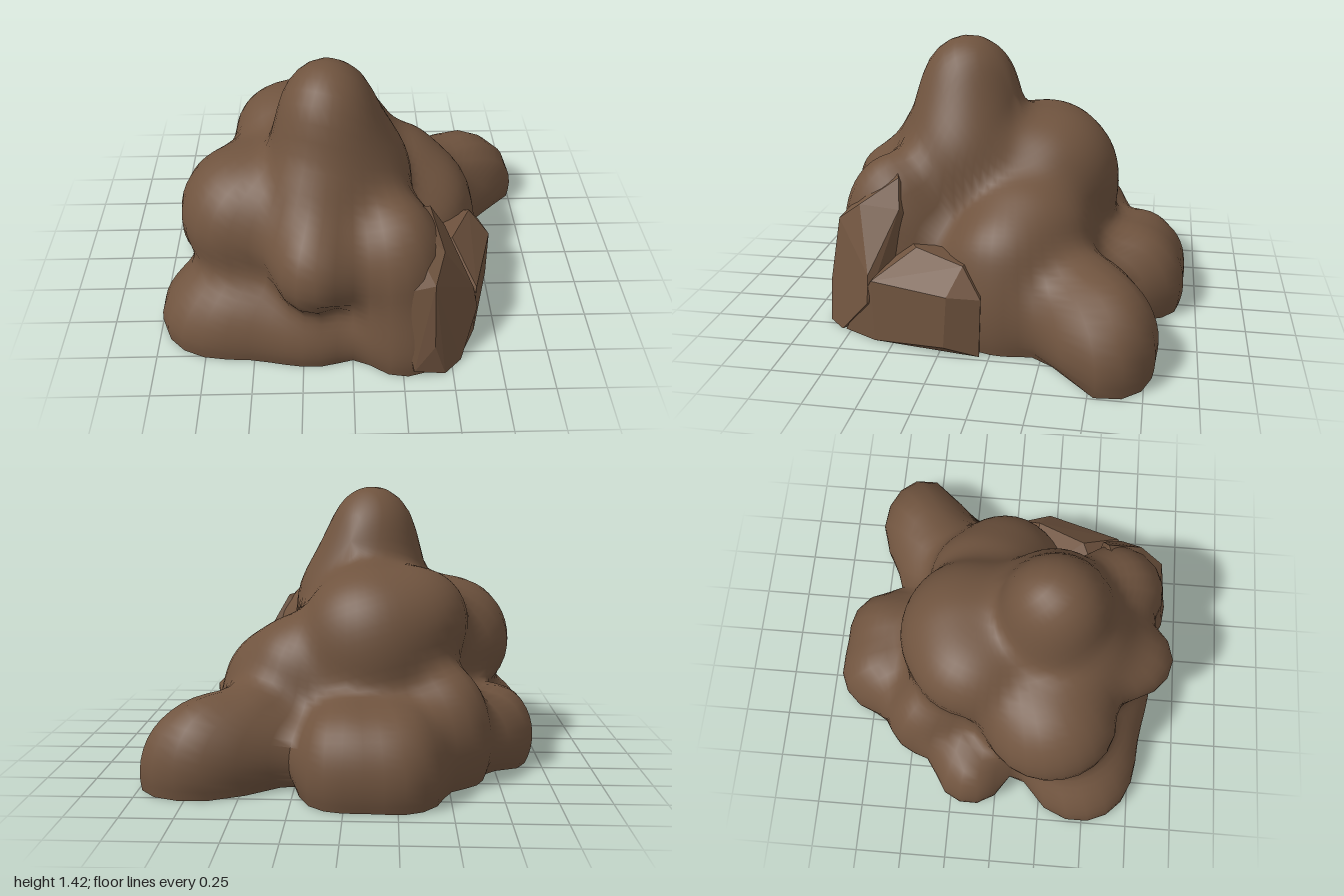
import * as THREE from 'three';
import { toCreasedNormals } from 'three/addons/utils/BufferGeometryUtils.js';
import { ConvexGeometry } from 'three/addons/geometries/ConvexGeometry.js';

// Rounded boulders that melt together: centre x, y, z and radii x, y, z
const BOULDERS = [
  [-0.11, 1.09, 0.25, 0.25, 0.33, 0.27],   // peak
  [-0.07, 0.74, 0.25, 0.38, 0.44, 0.36],   // peak skirt
  [-0.18, 0.74, 0.45, 0.23, 0.26, 0.22],   // ridge down to the overhang
  [-0.14, 0.58, -0.1, 0.42, 0.43, 0.45],   // rear shoulder
  [-0.15, 0.74, -0.22, 0.34, 0.27, 0.29],
  [-0.38, 0.77, -0.14, 0.22, 0.23, 0.26],
  [-0.05, 0.2, 0, 0.66, 0.45, 0.57],       // core
  [-0.55, 0.57, 0.27, 0.32, 0.31, 0.35],   // left shoulder
  [-0.48, 0.69, 0.28, 0.29, 0.22, 0.26],
  [-0.18, 0.55, 0.61, 0.23, 0.27, 0.3],    // front overhang
  [-0.52, 0.09, 0.43, 0.41, 0.35, 0.36],   // left foot
  [-0.74, 0.05, 0.48, 0.25, 0.21, 0.26],
  [-0.2, 0.08, 0.58, 0.32, 0.25, 0.27],    // front foot
  [0.22, 0.45, 0.58, 0.25, 0.4, 0.28],     // front right boulder
  [0.26, 0.1, 0.65, 0.25, 0.34, 0.27],
  [0.43, 0.38, -0.04, 0.24, 0.27, 0.28],   // right shoulder
  [0.28, 0.48, -0.14, 0.24, 0.28, 0.3],
  [0.5, 0.1, -0.06, 0.21, 0.3, 0.26],
  [0.68, 0.13, -0.55, 0.25, 0.31, 0.26],   // back right spur
  [0.48, 0.16, -0.42, 0.26, 0.3, 0.29],
  [0.83, 0.07, -0.58, 0.17, 0.24, 0.17],
  [-0.25, 0.12, -0.65, 0.24, 0.32, 0.29],  // back foot
  [0, 0.12, -0.65, 0.24, 0.32, 0.28],
  [-0.5, 0.2, -0.4, 0.22, 0.36, 0.23],     // back left boulder
  [-0.77, 0.15, -0.14, 0.19, 0.26, 0.2],   // small left boulder
];
const BLEND = 0.13;

// Smoothly blended distance to all boulders
function distance(x, y, z) {
  let d = 10;
  for (const [cx, cy, cz, rx, ry, rz] of BOULDERS) {
    const a = (x - cx) / rx, b = (y - cy) / ry, c = (z - cz) / rz;
    const k0 = Math.hypot(a, b, c);
    const k1 = Math.hypot(a / rx, b / ry, c / rz) || 1;
    const e = k0 * (k0 - 1) / k1;
    const h = Math.max(BLEND - Math.abs(d - e), 0) / BLEND;
    d = Math.min(d, e) - h * h * BLEND / 4;
  }
  return d;
}

// Push every unit-length vertex along its ray to the outermost rock surface
function wrap(geometry) {
  const pos = geometry.attributes.position, v = new THREE.Vector3();
  for (let i = 0; i < pos.count; i++) {
    v.fromBufferAttribute(pos, i);
    if (v.length() < 0.5) continue;
    let r = 1.6, last = 1;
    for (; r > 0.1; r -= 0.01) {
      const d = distance(v.x * r, v.y * r, v.z * r);
      if (d <= 0) {
        r += 0.01 * -d / (last - d);
        break;
      }
      last = d;
    }
    pos.setXYZ(i, v.x * r, Math.max(0, v.y * r), v.z * r);
  }
  return geometry;
}

export function createModel() {
  const group = new THREE.Group();
  const rock = new THREE.MeshStandardMaterial({ color: 0x70543f });
  rock.name = 'brown rock';

  const add = (name, geometry) => {
    const mesh = new THREE.Mesh(geometry, rock);
    mesh.name = name;
    group.add(mesh);
  };
  const hull = (points) => new ConvexGeometry(points.map((p) => new THREE.Vector3(...p)));

  // Main mound
  const dome = wrap(new THREE.SphereGeometry(1, 64, 36, 0, Math.PI * 2, 0, Math.PI / 2));
  add('rockMound', toCreasedNormals(dome, 1.4));

  // Flat underside
  const base = wrap(new THREE.CircleGeometry(1, 64).rotateX(Math.PI / 2));
  base.computeVertexNormals();
  add('flatBase', base);

  // Chipped face of the front right boulder
  add('chippedFace', hull([
    [0.4, 0.2, 0.9], [0.39, 0.55, 0.84], [0.44, 0.65, 0.71], [0.61, 0.34, 0.63],
    [0.64, 0.2, 0.63], [0.55, 0, 0.8], [0.46, 0, 0.89], [0.2, 0.4, 0.4],
    [0.2, 0, 0.5], [0.2, 0.83, 0.58], [0.38, 0.78, 0.52], [0.46, 0.64, 0.5],
    [0.3, 0.06, 0.93], [0.2, 0.5, 0.84],
  ]));

  // Angular block on the right side
  add('angularBlock', hull([
    [0.72, 0, 0.05], [0.71, 0.3, 0.04], [0.64, 0.44, 0.14], [0.52, 0.47, 0.4],
    [0.75, 0.32, 0.2], [0.75, 0.05, 0.22], [0.64, 0, 0.6], [0.63, 0.32, 0.61],
    [0.3, 0, 0.1], [0.3, 0.4, 0.1], [0.3, 0.42, 0.5], [0.3, 0, 0.6], [0.55, 0, 0.78],
  ]));

  return group;
}
